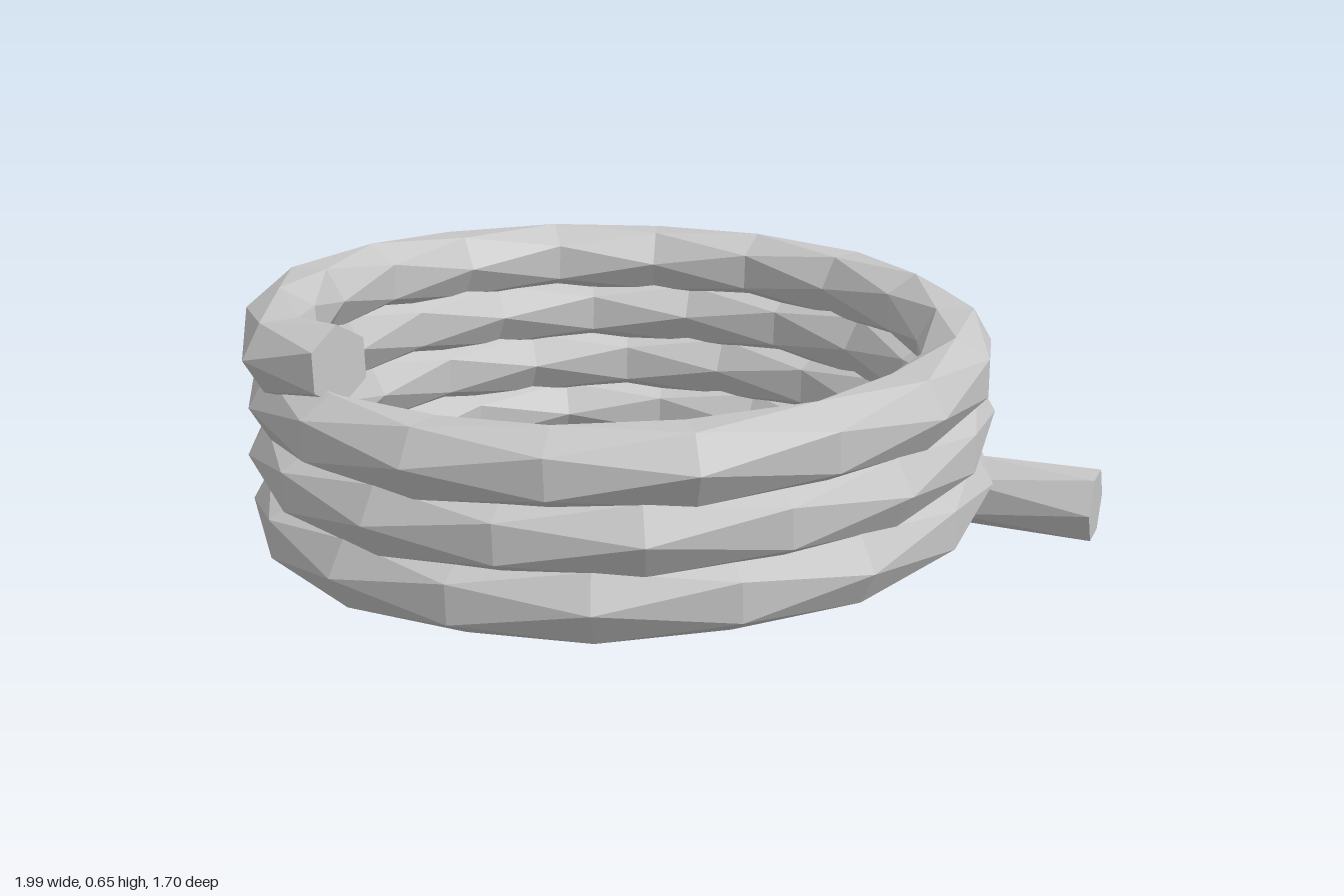
import * as THREE from 'three';

const SIDES = 6, RADIUS = 0.087, TWIST = Math.PI / SIDES;

// Centre line: loose lead, helical turns, bent-in top end
function ropePath() {
  const pts = [new THREE.Vector3(0.95, 0.077, 0.25), new THREE.Vector3(0.7, 0.08, 0.07)];
  for (let i = 0; i <= 61; i++) {
    const deg = 8 + i * 20.4, a = THREE.MathUtils.degToRad(deg);
    const y = Math.max(0.083, 0.071 + 0.137 * deg / 360);
    pts.push(new THREE.Vector3(-0.135 + 0.765 * Math.cos(a), y, -0.765 * Math.sin(a)));
  }
  pts.push(new THREE.Vector3(-0.91, 0.55, 0.155), new THREE.Vector3(-0.8, 0.555, 0.285));
  return pts;
}

// Sweep a hexagon along the points, turned half a side per ring, and cap both ends
function sweep(pts) {
  const pos = [], idx = [], up = new THREE.Vector3(0, 1, 0), last = pts.length - 1;
  pts.forEach((p, i) => {
    const t = new THREE.Vector3();
    if (i > 0) t.add(p.clone().sub(pts[i - 1]).normalize());
    if (i < last) t.add(pts[i + 1].clone().sub(p).normalize());
    t.normalize();
    const side = up.clone().cross(t).normalize(), rise = t.clone().cross(side);
    for (let j = 0; j < SIDES; j++) {
      const a = j / SIDES * Math.PI * 2 + i * TWIST;
      const v = p.clone().addScaledVector(side, RADIUS * Math.cos(a)).addScaledVector(rise, RADIUS * Math.sin(a));
      pos.push(v.x, v.y, v.z);
    }
  });
  for (let i = 0; i < last; i++) {
    for (let j = 0; j < SIDES; j++) {
      const a = i * SIDES + j, b = i * SIDES + (j + 1) % SIDES;
      idx.push(a, b, a + SIDES, b, b + SIDES, a + SIDES);
    }
  }
  const e = last * SIDES;
  for (let j = 1; j < SIDES - 1; j++) idx.push(0, j + 1, j, e, e + j, e + j + 1);
  const g = new THREE.BufferGeometry();
  g.setAttribute('position', new THREE.Float32BufferAttribute(pos, 3));
  g.setIndex(idx);
  const flat = g.toNonIndexed();
  flat.computeVertexNormals();
  return flat;
}

export function createModel() {
  const group = new THREE.Group();
  group.name = 'coiledRope';
  const grey = new THREE.MeshStandardMaterial({ color: 0xc6c6c6, flatShading: true });
  grey.name = 'ropeGrey';
  const rope = new THREE.Mesh(sweep(ropePath()), grey);
  rope.name = 'rope';
  group.add(rope);
  return group;
}
